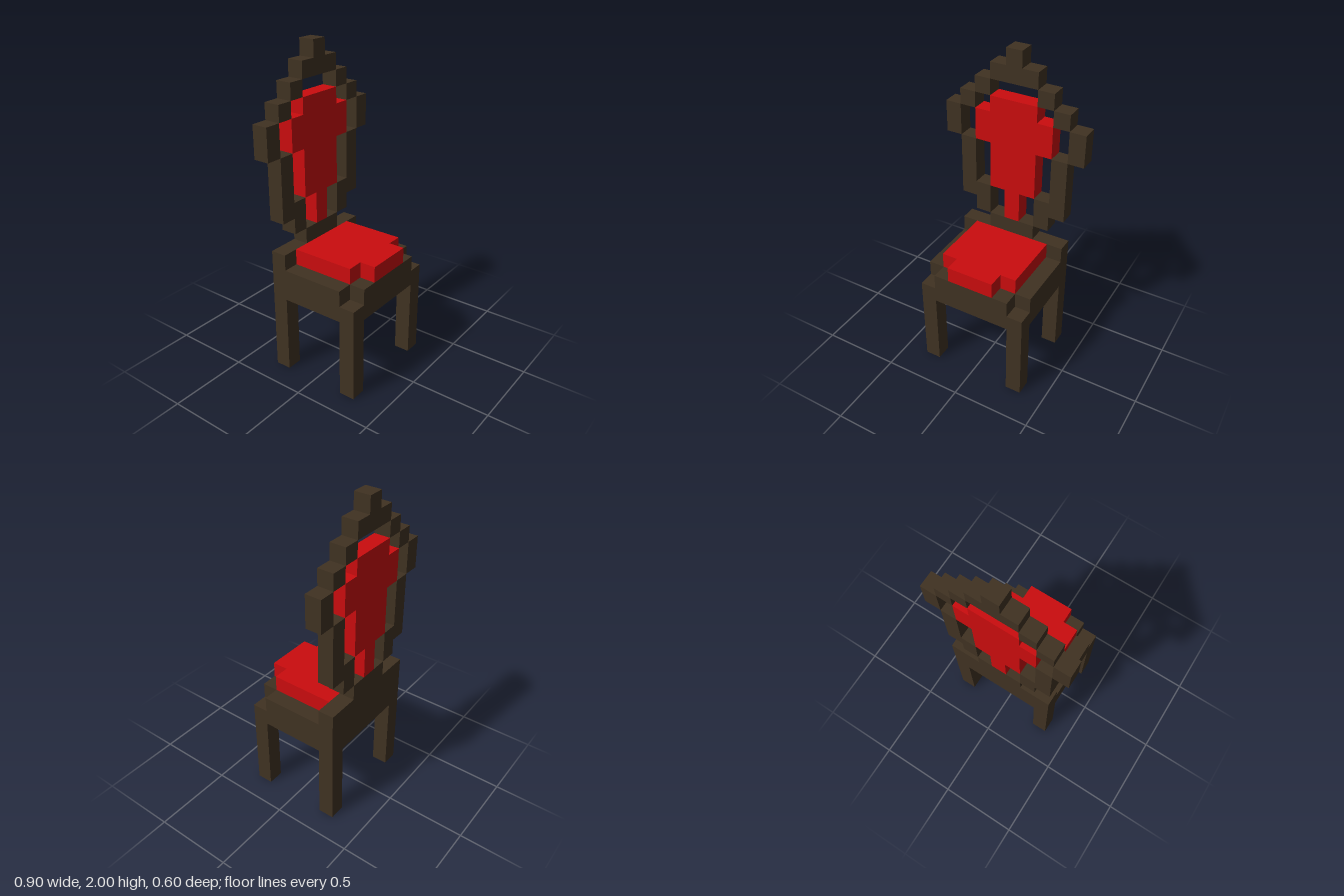
import * as THREE from 'three';

const wood = new THREE.MeshStandardMaterial({ color: 0x403222 });
wood.name = 'dark wood';
const cloth = new THREE.MeshStandardMaterial({ color: 0xcb0c0e });
cloth.name = 'red upholstery';

// Block given by its limits on each axis
function block(name, material, [x0, x1], [y0, y1], [z0, z1]) {
  const mesh = new THREE.Mesh(new THREE.BoxGeometry(x1 - x0, y1 - y0, z1 - z0), material);
  mesh.position.set((x0 + x1) / 2, (y0 + y1) / 2, (z0 + z1) / 2);
  mesh.name = name;
  return mesh;
}

// Extruded shape, symmetric in x, from a stepped right-hand outline
function symmetric(name, material, half, depth) {
  const points = [...half, ...half.map(([x, y]) => [-x, y]).reverse()];
  const shape = new THREE.Shape(points.map(([x, y]) => new THREE.Vector2(x, y)));
  const geometry = new THREE.ExtrudeGeometry(shape, { depth, bevelEnabled: false });
  const mesh = new THREE.Mesh(geometry, material);
  mesh.name = name;
  return mesh;
}

export function createModel() {
  const chair = new THREE.Group();
  chair.name = 'chair';
  const back = [-0.3, -0.2];

  // Seat frame
  chair.add(
    block('seatFrame', wood, [-0.35, 0.35], [0.5, 0.7], [-0.2, 0.2]),
    block('frontRail', wood, [-0.25, 0.25], [0.5, 0.7], [0.2, 0.3]),
    block('backRail', wood, [-0.35, 0.35], [0.5, 0.8], back),
    block('backBase', wood, [-0.15, 0.15], [0.8, 0.9], back),
  );

  // Cushion with notched front corners
  const cushion = symmetric('seatCushion', cloth,
    [[0.25, 0.2], [0.25, -0.2], [0.15, -0.2], [0.15, -0.3]].map(([x, y]) => [x, y]).reverse(), 0.1);
  cushion.rotation.x = -Math.PI / 2;
  cushion.position.y = 0.7;
  chair.add(cushion);

  // Upholstered back panel
  const panel = symmetric('backPanel', cloth, [
    [0.05, 0.9], [0.05, 1.1], [0.15, 1.1], [0.15, 1.4], [0.25, 1.4],
    [0.25, 1.6], [0.15, 1.6], [0.15, 1.7],
  ], 0.1);
  panel.position.z = -0.3;
  chair.add(panel);

  // Crest and finial
  const crest = symmetric('crest', wood,
    [[0.15, 1.8], [0.15, 1.9], [0.05, 1.9], [0.05, 2]], 0.1);
  crest.position.z = -0.3;
  chair.add(crest);

  // Legs and stepped back frame, mirrored
  for (const [side, s] of [['left', 1], ['right', -1]]) {
    const span = (a, b) => (s > 0 ? [a, b] : [-b, -a]);
    chair.add(
      block(side + 'FrontLeg', wood, span(0.25, 0.35), [0, 0.6], [0.2, 0.3]),
      block(side + 'BackLeg', wood, span(0.25, 0.35), [0, 0.5], back),
      block(side + 'LowerFrame', wood, span(0.15, 0.25), [0.9, 1.1], back),
      block(side + 'Post', wood, span(0.25, 0.35), [1.0, 1.4], back),
      block(side + 'Ear', wood, span(0.35, 0.45), [1.4, 1.6], back),
      block(side + 'UpperFrame', wood, span(0.25, 0.35), [1.6, 1.7], back),
      block(side + 'Shoulder', wood, span(0.15, 0.25), [1.7, 1.8], back),
    );
  }
  return chair;
}
